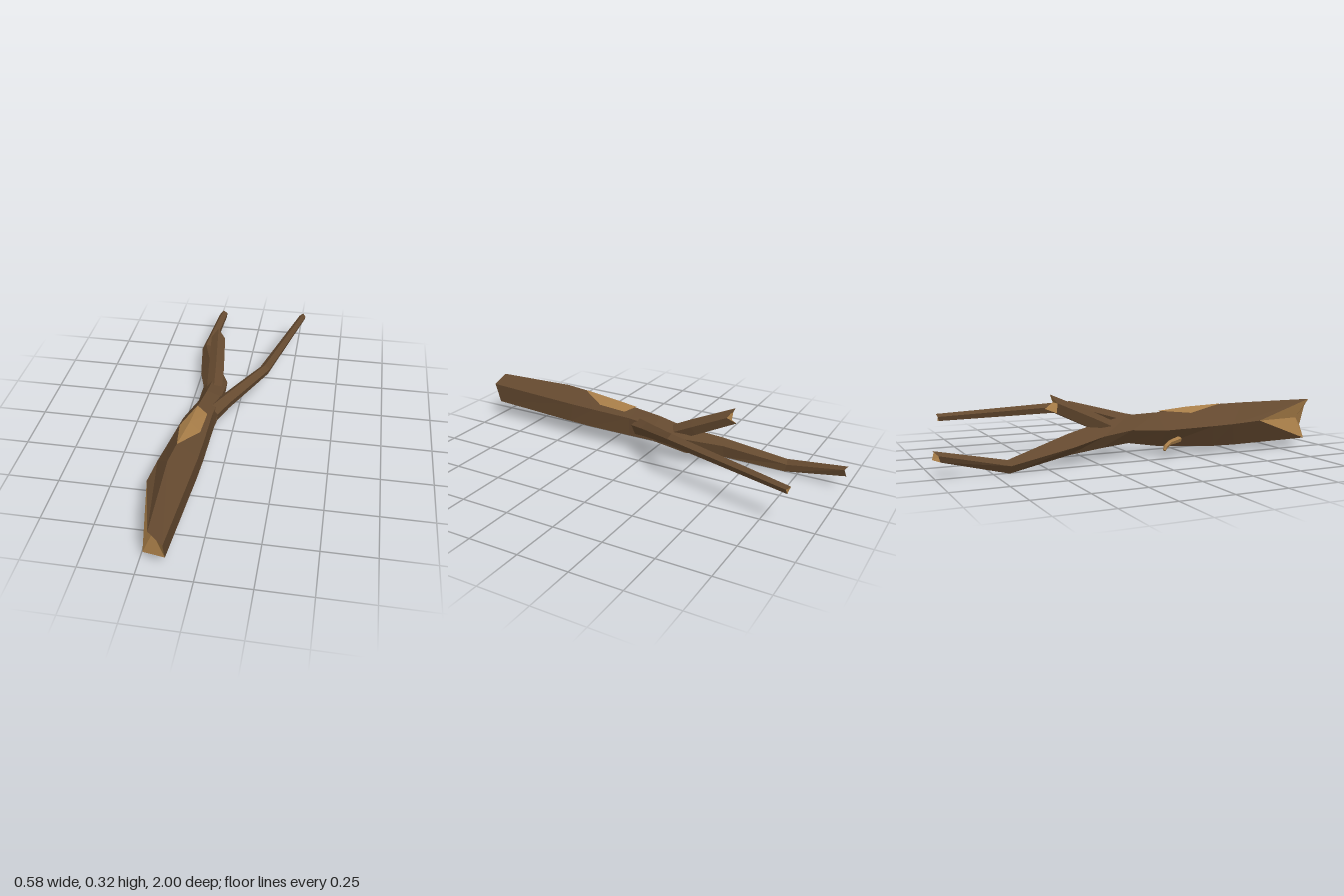
import * as THREE from 'three';

const bark = new THREE.MeshStandardMaterial({ color: 0x64492f, flatShading: true, side: THREE.DoubleSide });
const wood = new THREE.MeshStandardMaterial({ color: 0xa67c47, flatShading: true, side: THREE.DoubleSide });

function meshFrom(name, tris, material) {
  const g = new THREE.BufferGeometry();
  g.setAttribute('position', new THREE.Float32BufferAttribute(tris.flat(), 3));
  g.computeVertexNormals();
  const m = new THREE.Mesh(g, material);
  m.name = name;
  return m;
}

// skin a list of rings, each clockwise when looking along the limb
function loft(name, rings, material) {
  const tris = [];
  for (let i = 0; i < rings.length - 1; i++) {
    const p = rings[i], q = rings[i + 1], n = p.length;
    for (let j = 0; j < n; j++) {
      const k = (j + 1) % n;
      tris.push(p[j], p[k], q[j], p[k], q[k], q[j]);
    }
  }
  return meshFrom(name, tris, material);
}

// fan a loop of points around a centre, optionally sunk along z
function fan(name, loop, sink, material) {
  const c = [0, 1, 2].map(a => loop.reduce((s, p) => s + p[a], 0) / loop.length);
  c[2] += sink;
  return meshFrom(name, loop.flatMap((p, i) => [c, loop[(i + 1) % loop.length], p]), material);
}

// five-sided limb along a path of [x, y, z, radius], with a splintered end
function limb(name, path, jag, material, endMaterial) {
  const pts = path.map(p => new THREE.Vector3(p[0], p[1], p[2]));
  const up = new THREE.Vector3(0, 1, 0);
  const rings = pts.map((p, i) => {
    const last = i === pts.length - 1;
    const dir = pts[Math.min(i + 1, pts.length - 1)].clone().sub(pts[Math.max(i - 1, 0)]).normalize();
    const right = dir.clone().cross(up).normalize();
    const lift = right.clone().cross(dir);
    return Array.from({ length: 5 }, (_, j) => {
      const a = j * Math.PI * 2 / 5 + 0.3;
      return p.clone()
        .addScaledVector(right, -Math.cos(a) * path[i][3])
        .addScaledVector(lift, Math.sin(a) * path[i][3])
        .addScaledVector(dir, last ? jag * [0, 1, -0.3, 0.6, -0.6][j] : 0)
        .toArray();
    });
  });
  const g = new THREE.Group();
  g.name = name;
  g.add(loft(name + 'Bark', rings, material), fan(name + 'End', rings.at(-1), jag, endMaterial));
  return g;
}

export function createModel() {
  const model = new THREE.Group();
  model.name = 'fallenBranch';

  // trunk rings: left, top, upper right, lower right, bottom; runs into the left fork
  const trunk = [
    [[-0.287, 0.16, 0.6], [-0.185, 0.24, 0.975], [-0.12, 0.195, 1], [-0.122, 0.095, 0.97], [-0.235, 0.045, 0.91]],
    [[-0.275, 0.15, 0.45], [-0.2, 0.245, 0.55], [-0.085, 0.19, 0.45], [-0.088, 0.09, 0.47], [-0.21, 0.035, 0.5]],
    [[-0.262, 0.145, 0.35], [-0.185, 0.242, 0.42], [-0.082, 0.188, 0.32], [-0.083, 0.088, 0.35], [-0.2, 0.035, 0.38]],
    [[-0.23, 0.135, 0.1], [-0.155, 0.215, 0.09], [-0.08, 0.185, 0.1], [-0.078, 0.09, 0.1], [-0.17, 0.05, 0.1]],
    [[-0.18, 0.14, -0.05], [-0.135, 0.208, -0.05], [-0.065, 0.175, -0.05], [-0.06, 0.1, -0.05], [-0.13, 0.07, -0.05]],
    [[-0.185, 0.12, -0.2], [-0.13, 0.18, -0.2], [-0.062, 0.145, -0.22], [-0.08, 0.065, -0.22], [-0.15, 0.06, -0.2]],
    [[-0.23, 0.09, -0.36], [-0.18, 0.145, -0.38], [-0.135, 0.12, -0.4], [-0.15, 0.055, -0.4], [-0.2, 0.05, -0.38]],
    [[-0.285, 0.04, -0.68], [-0.265, 0.065, -0.69], [-0.23, 0.05, -0.7], [-0.23, 0.012, -0.69], [-0.26, 0.003, -0.68]],
    [[-0.235, 0.1, -0.98], [-0.215, 0.12, -1], [-0.19, 0.11, -0.99], [-0.195, 0.078, -1], [-0.225, 0.07, -0.97]],
  ];
  model.add(loft('trunk', trunk, bark));
  model.add(fan('brokenTrunkEnd', trunk[0], 0, wood));
  model.add(fan('leftForkEnd', trunk.at(-1), 0.03, wood));

  // bare patch on top of the trunk
  const patch = [[-0.185, 0.244, 0.43], [-0.212, 0.21, 0.25], [-0.155, 0.222, 0.1], [-0.1, 0.206, 0.14], [-0.105, 0.213, 0.29]];
  model.add(fan('barePatch', patch, 0, wood));
  // lift the patch centre clear of the bark ridge
  const pos = model.getObjectByName('barePatch').geometry.attributes.position;
  for (let i = 0; i < pos.count; i += 3) pos.setXYZ(i, -0.162, 0.235, 0.25);
  model.getObjectByName('barePatch').geometry.computeVertexNormals();

  // long right fork
  model.add(limb('rightFork', [
    [-0.095, 0.145, 0.05, 0.045], [-0.04, 0.165, -0.03, 0.038],
    [0.13, 0.228, -0.25, 0.028], [0.272, 0.192, -0.875, 0.019],
  ], 0.008, bark, wood));

  // short snapped stub
  model.add(limb('snappedStub', [
    [-0.115, 0.135, -0.12, 0.04], [-0.125, 0.195, -0.25, 0.042], [-0.145, 0.278, -0.435, 0.038],
  ], 0.035, bark, wood));

  // small curled twig under the left side
  model.add(limb('twig', [
    [-0.205, 0.085, 0.19, 0.016], [-0.232, 0.075, 0.12, 0.012],
    [-0.252, 0.062, 0.09, 0.011], [-0.258, 0.045, 0.08, 0.007],
  ], 0, wood, wood));

  return model;
}
